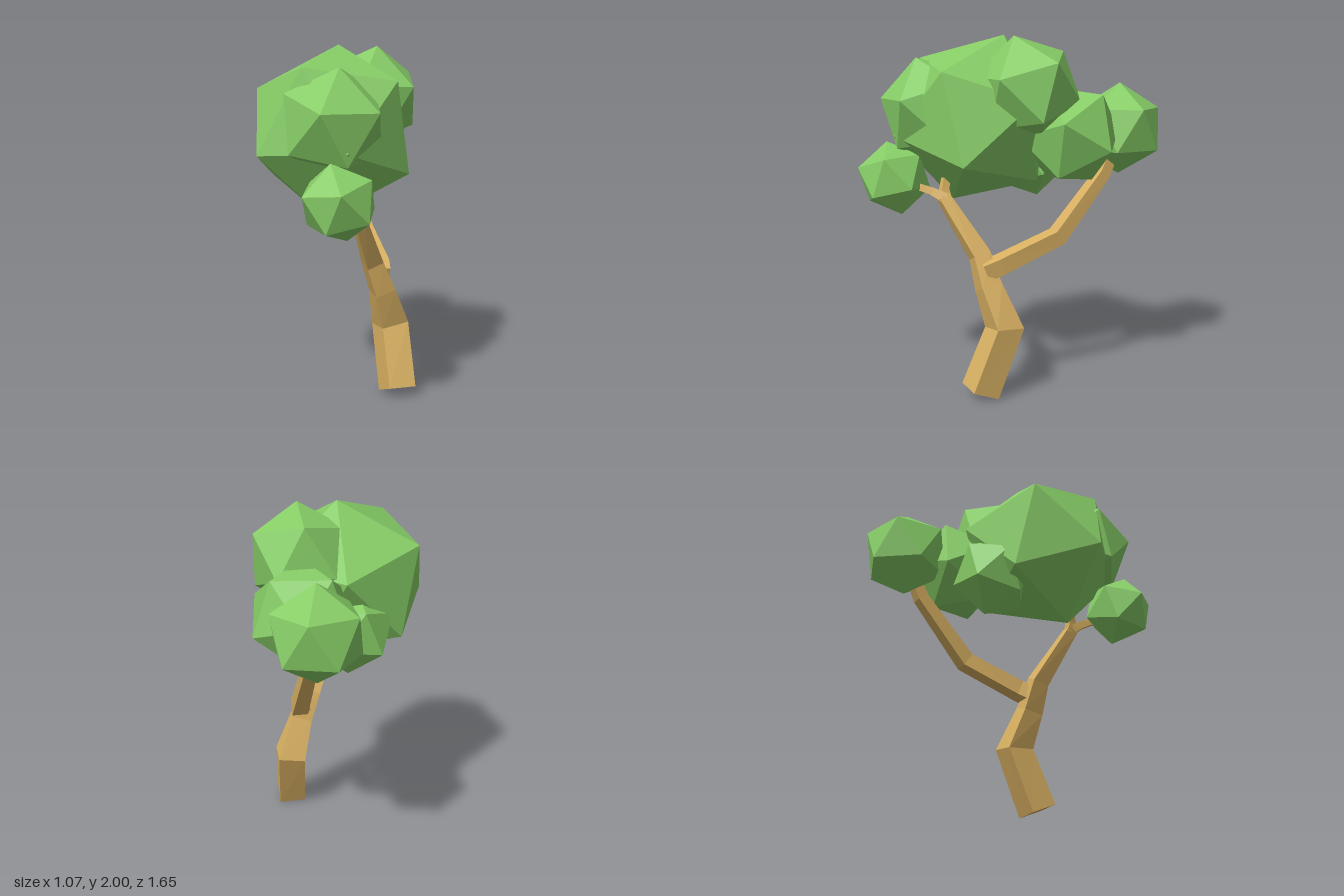
import * as THREE from 'three';

const leafMaterial = new THREE.MeshStandardMaterial({ color: 0x86cc66, flatShading: true });
const woodMaterial = new THREE.MeshStandardMaterial({ color: 0xd8b062, flatShading: true });
const vec = (a) => new THREE.Vector3(...a);

// Orthonormal frame whose first axis is a and whose second leans towards b
function frame(a, b) {
  const e1 = a.clone().normalize();
  const e2 = b.clone().addScaledVector(e1, -b.dot(e1)).normalize();
  return new THREE.Matrix4().makeBasis(e1, e2, e1.clone().cross(e2));
}

// Icosahedral leaf clump turned so that two neighbouring corners point along p and q
function clump(name, centre, radius, p, q) {
  const t = (1 + Math.sqrt(5)) / 2;
  const turn = frame(vec(p), vec(q)).multiply(frame(vec([-1, t, 0]), vec([1, t, 0])).transpose());
  const geometry = new THREE.IcosahedronGeometry(radius, 0).applyMatrix4(turn);
  const mesh = new THREE.Mesh(geometry, leafMaterial);
  mesh.position.set(...centre);
  mesh.name = name;
  return mesh;
}

// Square-section limb swept along points [x, y, z, width], closed at both ends
function limb(name, points) {
  const centres = points.map(([x, y, z]) => vec([x, y, z]));
  const last = points.length - 1;
  const positions = [];
  const index = [];
  centres.forEach((c, i) => {
    const tangent = new THREE.Vector3();
    if (i > 0) tangent.add(c.clone().sub(centres[i - 1]).normalize());
    if (i < last) tangent.add(centres[i + 1].clone().sub(c).normalize());
    tangent.normalize();
    const u = vec([1, 0, 0]).addScaledVector(tangent, -tangent.x).normalize();
    const v = tangent.clone().cross(u);
    const h = points[i][3] / 2;
    for (const [a, b] of [[1, 1], [-1, 1], [-1, -1], [1, -1]]) {
      positions.push(...c.clone().addScaledVector(u, a * h).addScaledVector(v, b * h).toArray());
    }
  });
  for (let i = 0; i < last; i++) {
    for (let k = 0; k < 4; k++) {
      const a = i * 4 + k;
      const b = i * 4 + (k + 1) % 4;
      index.push(a, b, b + 4, a, b + 4, a + 4);
    }
  }
  const e = last * 4;
  index.push(0, 2, 1, 0, 3, 2, e, e + 1, e + 2, e, e + 2, e + 3);
  const geometry = new THREE.BufferGeometry();
  geometry.setAttribute('position', new THREE.Float32BufferAttribute(positions, 3));
  geometry.setIndex(index);
  geometry.computeVertexNormals();
  const mesh = new THREE.Mesh(geometry, woodMaterial);
  mesh.name = name;
  return mesh;
}

export function createModel() {
  const tree = new THREE.Group();
  tree.name = 'tree';

  // Trunk and branches
  const wood = new THREE.Group();
  wood.name = 'wood';
  wood.add(
    limb('trunk', [
      [0.28, 0.03, 0.325, 0.163], [0.295, 0.385, 0.18, 0.163], [0.215, 0.61, 0.24, 0.12],
      [0.145, 0.78, 0.26, 0.1], [-0.01, 1.1, 0.41, 0.065],
    ]),
    limb('backBranch', [
      [0.2, 0.7, 0.25, 0.1], [0.23, 0.735, 0.17, 0.095],
      [0.275, 0.87, -0.17, 0.09], [0.26, 1.21, -0.48, 0.07], [0.25, 1.36, -0.56, 0.06],
    ]),
    limb('frontTwig', [[0, 1.09, 0.4, 0.06], [-0.04, 1.13, 0.46, 0.045], [-0.1, 1.17, 0.56, 0.035]]),
    limb('upperTwig', [[-0.005, 1.08, 0.4, 0.06], [-0.02, 1.14, 0.4, 0.045], [-0.05, 1.25, 0.37, 0.035]]),
  );

  // Leaf clumps: centre, radius, and directions of two neighbouring corners
  const leaves = new THREE.Group();
  leaves.name = 'leaves';
  leaves.add(
    clump('mainClump', [-0.066, 1.529, 0.165], 0.493, [0.086, 0.471, -0.125], [-0.474 + 0.12, 0.231, -0.255]),
    clump('frontClump', [-0.15, 1.585, 0.41], 0.304, [-0.16, 0.06, 0.25], [0.16, 0.06, 0.25]),
    clump('lowFrontClump', [-0.2, 1.2, 0.63], 0.212, [-0.05, 0.19, 0.02], [0.15, 0.16, 0.125]),
    clump('topClump', [0.229, 1.7, 0.002], 0.305, [0.006, 0.29, 0.088], [0.266, 0.14, -0.042]),
    clump('middleClump', [0.26, 1.45, -0.25], 0.305, [0.275, -0.08, -0.1], [0.18, 0.22, -0.105]),
    clump('backClump', [0.235, 1.465, -0.605], 0.265, [0, 1, 0], [0.23, 0.118, 0]),
    clump('lowBackClump', [-0.03, 1.31, -0.14], 0.25, [0.03, -0.24, -0.05], [-0.165, -0.11, -0.22]),
  );

  tree.add(wood, leaves);
  return tree;
}
